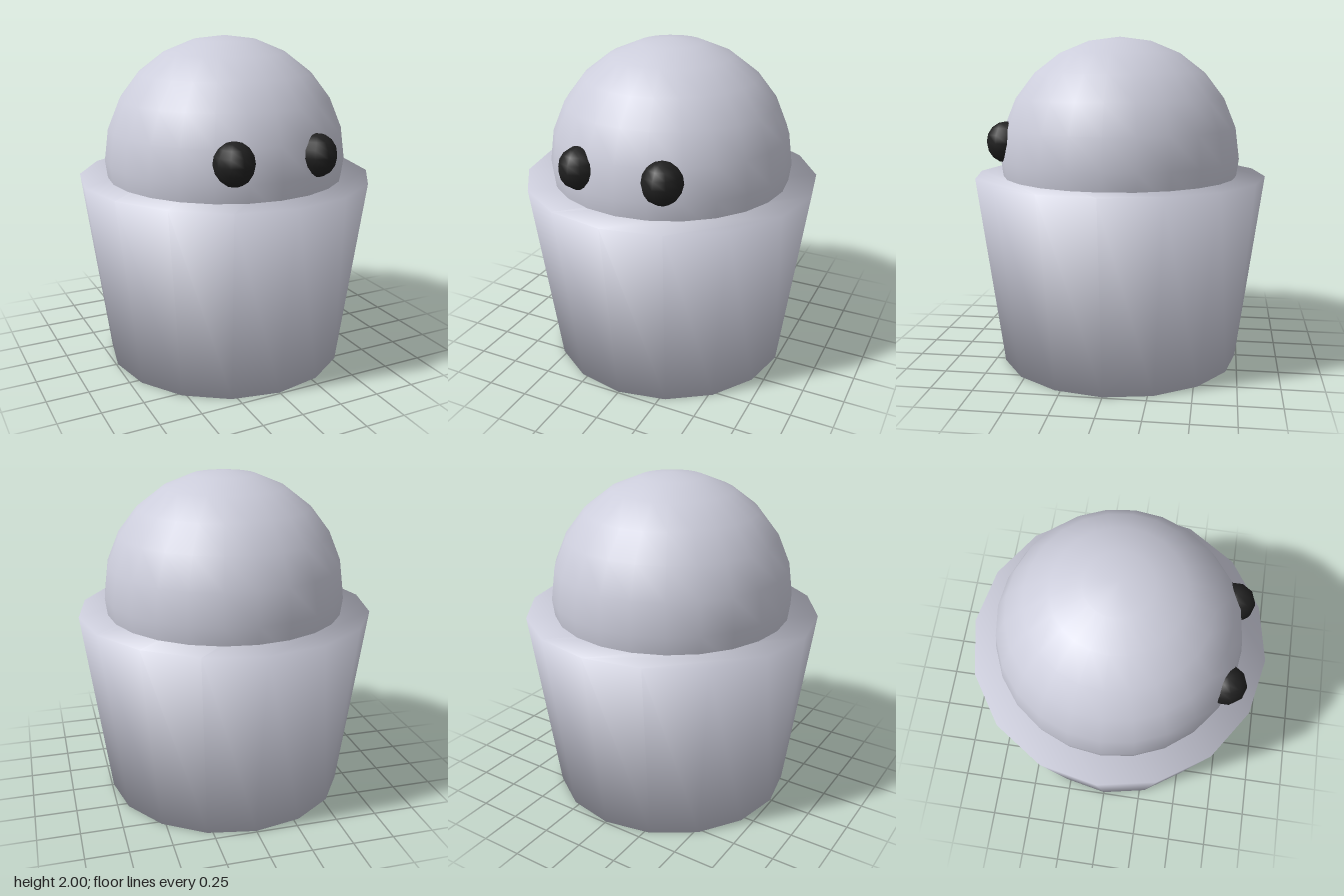
import * as THREE from 'three';

const SIDES = 16;

// Solid tapered tub whose wall and lids share softly shaded corners
function tubGeometry(bottomRadius, topRadius, height) {
  const positions = [], normals = [], index = [];
  [[bottomRadius, 0, -1], [topRadius, height, 1]].forEach(([radius, y, lid]) => {
    for (let i = 0; i < SIDES; i++) {
      const a = (i / SIDES) * Math.PI * 2;
      const n = new THREE.Vector3(Math.cos(a), lid * 0.85 - 0.13, Math.sin(a)).normalize();
      positions.push(Math.cos(a) * radius, y, Math.sin(a) * radius);
      normals.push(n.x, n.y, n.z);
    }
  });
  const bottom = i => (i + SIDES) % SIDES;
  const top = i => bottom(i) + SIDES;

  // wall
  for (let i = 0; i < SIDES; i++) {
    index.push(bottom(i), top(i + 1), bottom(i + 1), bottom(i), top(i), top(i + 1));
  }
  // lids, each filled with parallel strips across the polygon
  const half = SIDES / 2;
  const fillLid = (ring, axis, up) => {
    for (let k = 0; k < half; k++) {
      const a = ring(axis + k), b = ring(axis - k);
      const a2 = ring(axis + k + 1), b2 = ring(axis - k - 1);
      const triangles = [];
      if (k > 0) triangles.push([a2, a, b]);
      if (k < half - 1) triangles.push([a2, b, b2]);
      triangles.forEach(([p, q, r]) => index.push(...(up ? [p, q, r] : [p, r, q])));
    }
  };
  fillLid(top, 2, true);
  fillLid(bottom, -2, false);

  const geometry = new THREE.BufferGeometry();
  geometry.setAttribute('position', new THREE.Float32BufferAttribute(positions, 3));
  geometry.setAttribute('normal', new THREE.Float32BufferAttribute(normals, 3));
  geometry.setIndex(index);
  return geometry;
}

export function createModel() {
  const model = new THREE.Group();
  model.name = 'domedTubFigure';

  const paleGrey = new THREE.MeshStandardMaterial({ color: 0xcccddb });
  paleGrey.name = 'paleGrey';
  const black = new THREE.MeshStandardMaterial({ color: 0x202020 });
  black.name = 'black';

  const add = (name, geometry, material, x, y, z) => {
    const mesh = new THREE.Mesh(geometry, material);
    mesh.name = name;
    mesh.position.set(x, y, z);
    model.add(mesh);
    return mesh;
  };

  // body and round head
  add('body', tubGeometry(0.74, 0.895, 1.16), paleGrey, 0, 0, 0);
  add('head', new THREE.SphereGeometry(0.735, 24, 12), paleGrey, 0, 1.265, 0);

  // eyes, half sunk into the head
  const eye = new THREE.SphereGeometry(0.124, 10, 8).rotateY(Math.PI / 2).scale(0.95, 1, 1);
  for (const side of [-1, 1]) {
    add(side > 0 ? 'leftEye' : 'rightEye', eye, black, side * 0.257, 1.375, 0.651);
  }
  return model;
}
